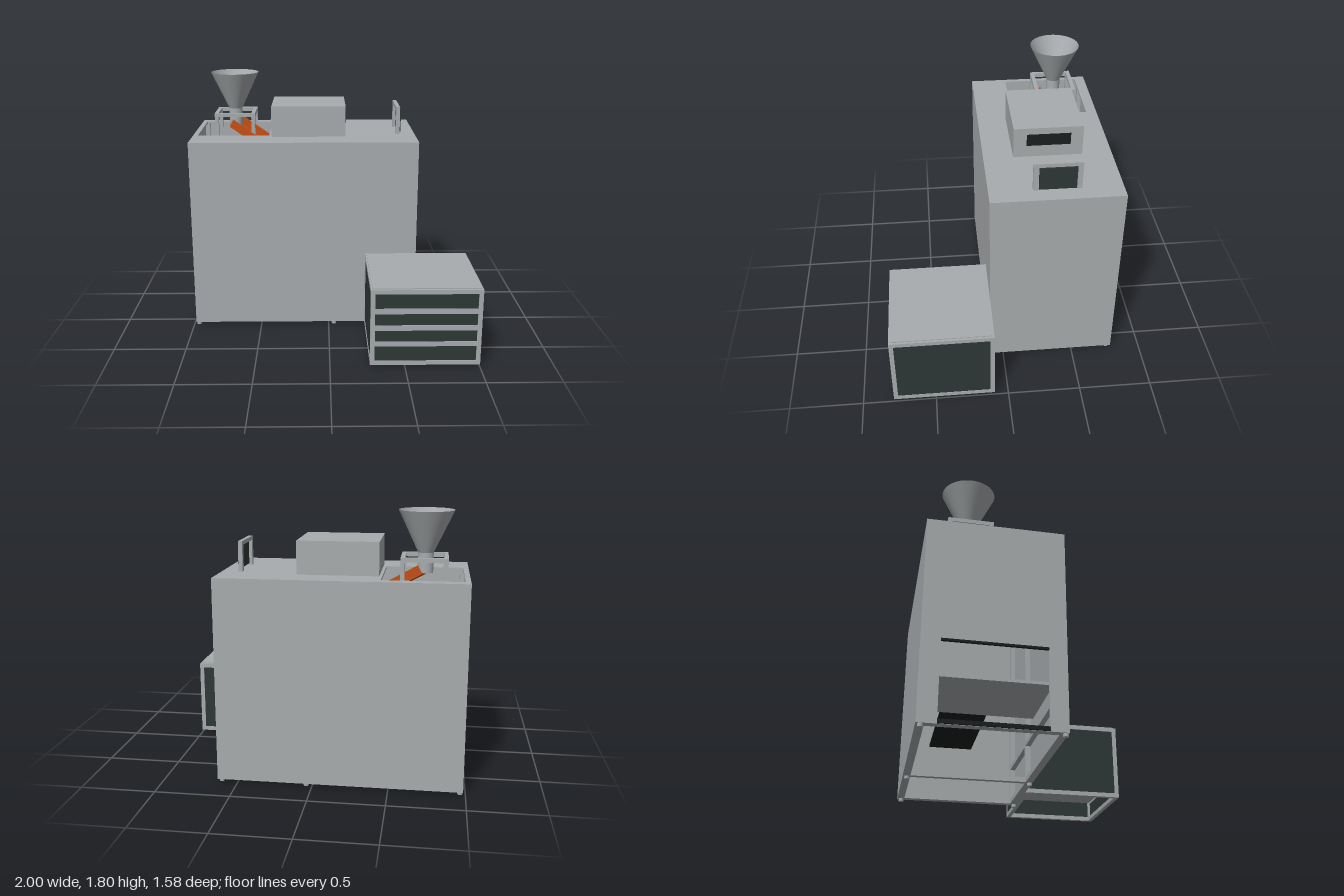
import * as THREE from 'three';

export function createModel() {
  const mat = (name, color, side = THREE.FrontSide) => {
    const m = new THREE.MeshStandardMaterial({ color, side });
    m.name = name;
    return m;
  };
  const steel = mat('steelGrey', 0xa8acae, THREE.DoubleSide);
  const glass = mat('darkGlass', 0x2e3836);
  const rubber = mat('blackRubber', 0x1b1f1f);
  const orange = mat('orangeChute', 0xc24e16);

  const model = new THREE.Group();
  const group = (name, parent = model) => {
    const g = new THREE.Group();
    g.name = name;
    parent.add(g);
    return g;
  };
  // box given by its extents on each axis
  const box = (parent, name, material, [x0, x1], [y0, y1], [z0, z1]) => {
    const m = new THREE.Mesh(new THREE.BoxGeometry(x1 - x0, y1 - y0, z1 - z0), material);
    m.position.set((x0 + x1) / 2, (y0 + y1) / 2, (z0 + z1) / 2);
    m.name = name;
    parent.add(m);
    return m;
  };
  // flat panel with a rectangular hole, drawn in (u, v)
  const holedPanel = (u, v, hu, hv, depth) => {
    const rect = (s, a, b) => {
      s.moveTo(a[0], b[0]); s.lineTo(a[1], b[0]);
      s.lineTo(a[1], b[1]); s.lineTo(a[0], b[1]); s.closePath();
      return s;
    };
    const shape = rect(new THREE.Shape(), u, v);
    shape.holes.push(rect(new THREE.Path(), hu, hv));
    return new THREE.ExtrudeGeometry(shape, { depth, bevelEnabled: false });
  };

  // main cabinet, open below
  const X = [-0.985, 0.635], Y = [0.02, 1.38], Z = [-0.79, 0.095], t = 0.015;
  const cabinet = group('cabinet');
  box(cabinet, 'frontWall', steel, X, Y, [Z[1] - t, Z[1]]);
  box(cabinet, 'backWall', steel, X, Y, [Z[0], Z[0] + t]);
  box(cabinet, 'leftWall', steel, [X[1] - t, X[1]], Y, [Z[0] + t, Z[1] - t]);

  // side wall with the discharge opening
  const sideGeo = holedPanel([Z[0] + t, Z[1] - t], Y, [-0.67, -0.02], [0.035, 0.545], t);
  sideGeo.rotateY(-Math.PI / 2);
  const sideWall = new THREE.Mesh(sideGeo, steel);
  sideWall.name = 'rightWallWithOpening';
  sideWall.position.x = X[0] + t;
  cabinet.add(sideWall);
  box(cabinet, 'openingTopSeal', rubber, [-0.995, -0.98], [0.537, 0.552], [-0.67, -0.02]);
  box(cabinet, 'openingBottomSeal', rubber, [-0.995, -0.98], [0.022, 0.048], [-0.67, -0.02]);

  // top wall with the feed opening
  const topGeo = holedPanel([X[0] + t, X[1] - t], [Z[0] + t, Z[1] - t], [-0.95, -0.43], [-0.715, -0.165], t);
  topGeo.rotateX(Math.PI / 2);
  const topWall = new THREE.Mesh(topGeo, steel);
  topWall.name = 'topWallWithOpening';
  topWall.position.y = Y[1];
  cabinet.add(topWall);

  // inner frame
  const frame = group('innerFrame', cabinet);
  const b = 0.035, xi = [X[0] + t, X[1] - t], zi = [Z[0] + t, Z[1] - t];
  for (const z of [zi[0], zi[1] - b]) {
    for (const y of [0.02, 0.28]) box(frame, 'longBeam', steel, xi, [y, y + b], [z, z + b]);
    for (const x of [xi[0], 0.02, xi[1] - b]) box(frame, 'post', steel, [x, x + b], [0.02, 1.36], [z, z + b]);
  }
  for (const x of [xi[0], 0.02, xi[1] - b]) box(frame, 'crossBeam', steel, [x, x + b], [0.02, 0.02 + b], zi);
  box(frame, 'shelf', steel, [-0.95, -0.39], [0.325, 0.345], [-0.7, 0.01]);
  box(frame, 'conveyorBelt', rubber, [-0.39, 0.3], [0.325, 0.345], [-0.6, -0.3]);

  // feet
  for (const x of [-0.965, 0.04, 0.61]) for (const z of [-0.762, 0.077]) {
    const foot = new THREE.Mesh(new THREE.CylinderGeometry(0.017, 0.017, 0.024, 16), steel);
    foot.position.set(x, 0.012, z);
    foot.name = 'foot';
    model.add(foot);
  }

  // hopper: open funnel and spout
  const funnel = [[0.05, 1.4], [0.05, 1.53], [0.05, 1.53], [0.178, 1.8]];
  const hopper = group('hopper');
  for (const i of [0, 2]) {
    const pts = funnel.slice(i, i + 2).map(p => new THREE.Vector2(...p));
    const m = new THREE.Mesh(new THREE.LatheGeometry(pts, 48), steel);
    m.position.set(-0.7, 0, -0.5);
    m.name = i ? 'funnel' : 'spout';
    hopper.add(m);
  }

  // hopper stand
  const stand = group('hopperStand');
  const s = 0.028, sx = [-0.845, -0.545], sz = [-0.645, -0.345];
  for (const z of [sz[0], sz[1] - s]) {
    box(stand, 'standRail', steel, sx, [1.482, 1.51], [z, z + s]);
    for (const x of [sx[0], sx[1] - s]) box(stand, 'standLeg', steel, [x, x + s], [1.34, 1.482], [z, z + s]);
  }
  for (const x of [sx[0], sx[1] - s]) box(stand, 'standRail', steel, [x, x + s], [1.482, 1.51], [sz[0] + s, sz[1] - s]);

  // sloping feed chute
  const chute = group('feedChute');
  chute.position.set(-0.7, 1.4, -0.49);
  chute.rotation.set(0, -0.37, -0.52, 'YXZ');
  box(chute, 'chuteFloor', orange, [-0.01, 0.5], [-0.008, 0], [-0.09, 0.09]);
  for (const z of [-0.09, 0.082]) box(chute, 'chuteSide', orange, [-0.01, 0.5], [0, 0.055], [z, z + 0.008]);

  // control housing
  const housing = group('controlHousing');
  box(housing, 'housingBody', steel, [-0.41, 0.125], [1.38, 1.6], [-0.585, -0.11]);
  box(housing, 'housingWindow', rubber, [0.123, 0.13], [1.468, 1.553], [-0.5, -0.2]);

  // display panel on the top
  const display = group('displayPanel');
  for (const z of [-0.515, -0.23]) box(display, 'displayPost', steel, [0.497, 0.525], [1.38, 1.58], [z, z + 0.035]);
  box(display, 'displayTopBar', steel, [0.497, 0.525], [1.553, 1.58], [-0.48, -0.23]);
  box(display, 'screen', glass, [0.518, 0.535], [1.392, 1.553], [-0.478, -0.232]);

  // glazed outfeed cabinet
  const unit = group('outfeedCabinet');
  const ux = [0.265, 1], uy = [0.02, 0.555], uz = [0.095, 0.79], f = 0.03;
  const xs = [ux[0], ux[1] - f], ys = [uy[0], uy[1] - f], zs = [uz[0], uz[1] - f];
  for (const y of ys) {
    for (const z of zs) box(unit, 'wideRail', steel, ux, [y, y + f], [z, z + f]);
    for (const x of xs) box(unit, 'deepRail', steel, [x, x + f], [y, y + f], [uz[0] + f, uz[1] - f]);
  }
  for (const x of xs) for (const z of zs) box(unit, 'cornerPost', steel, [x, x + f], [uy[0] + f, uy[1] - f], [z, z + f]);
  box(unit, 'lid', steel, [0.275, 0.985], [0.545, 0.562], [0.11, 0.775]);
  box(unit, 'floor', steel, [0.29, 0.975], [0.165, 0.18], [0.12, 0.765]);
  const gy = [0.05, 0.525];
  for (const x of [0.268, 0.989]) box(unit, 'sidePane', glass, [x, x + 0.008], gy, [0.125, 0.76]);
  box(unit, 'backPane', glass, [0.295, 0.97], gy, [0.098, 0.106]);
  box(unit, 'frontPane', glass, [0.29, 0.972], gy, [0.776, 0.784]);
  for (const [y0, y1] of [[0.155, 0.188], [0.268, 0.305], [0.386, 0.423]])
    box(unit, 'frontSlat', steel, [0.29, 0.972], [y0, y1], [0.77, 0.79]);

  return model;
}
